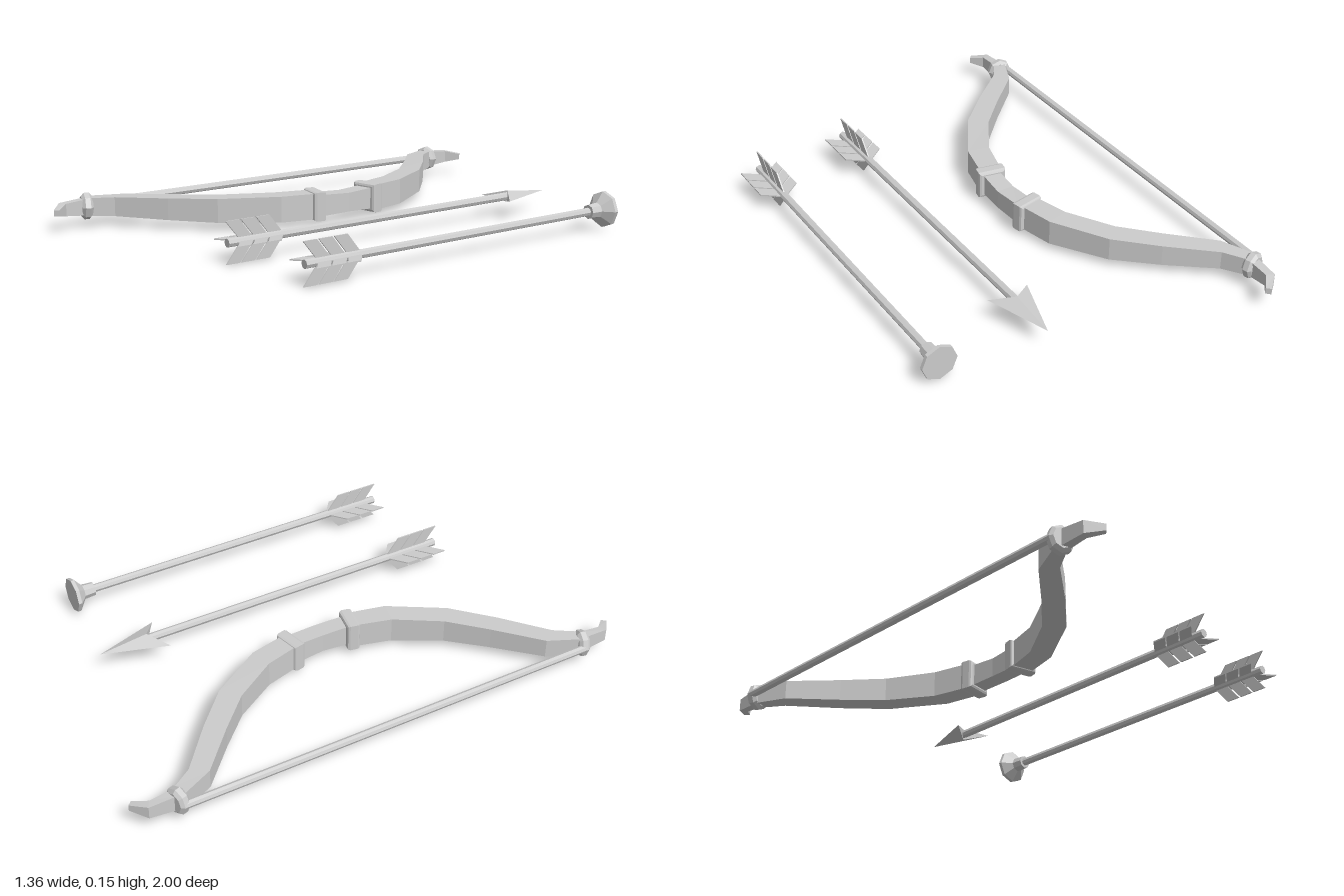
import * as THREE from 'three';

const Y = 0.08; // height of every part's centre line
const mat = new THREE.MeshStandardMaterial({ color: 0xcccccc, flatShading: true, side: THREE.DoubleSide });

function add(parent, name, geo, x = 0, y = 0, z = 0) {
  const mesh = new THREE.Mesh(geo, mat);
  mesh.name = name;
  mesh.position.set(x, y, z);
  parent.add(mesh);
  return mesh;
}

// Rod along z between two depths
function rod(radius, z0, z1) {
  return new THREE.CylinderGeometry(radius, radius, z1 - z0, 8)
    .rotateX(Math.PI / 2).translate(0, 0, (z0 + z1) / 2);
}

// Turned shape around the z axis, from [radius, z] pairs
function turned(profile) {
  return new THREE.LatheGeometry(profile.map(p => new THREE.Vector2(...p)), 8).rotateX(Math.PI / 2);
}

// Bow stave: rectangular sections [outerX, outerZ, innerX, innerZ, halfHeight]
function staveGeometry() {
  const half = [
    [-0.57, 0.984, -0.585, 1.0, 0.012],
    [-0.61, 0.937, -0.64, 0.952, 0.024],
    [-0.608, 0.85, -0.645, 0.845, 0.032],
    [-0.6, 0.835, -0.65, 0.825, 0.035],
    [-0.553, 0.762, -0.595, 0.704, 0.037],
    [-0.39, 0.624, -0.44, 0.56, 0.042],
    [-0.25, 0.49, -0.315, 0.434, 0.046],
    [-0.124, 0.286, -0.21, 0.265, 0.05],
    [-0.09, 0.14, -0.172, 0.128, 0.05],
    [-0.09, 0.125, -0.158, 0.115, 0.042],
  ];
  const back = half.map(([ox, oz, ix, iz, h]) => [ox, -oz, ix, -iz, h]);
  const sections = [...back, [-0.08, 0, -0.15, 0, 0.037], ...half.reverse()];
  const pos = [], idx = [];
  for (const [ox, oz, ix, iz, h] of sections) {
    pos.push(ox, h, oz, ox, -h, oz, ix, -h, iz, ix, h, iz);
  }
  const last = (sections.length - 1) * 4;
  for (let s = 0; s < last; s += 4) {
    for (let j = 0; j < 4; j++) {
      const a = s + j, b = s + (j + 1) % 4;
      idx.push(a, a + 4, b, b, a + 4, b + 4);
    }
  }
  idx.push(0, 1, 2, 0, 2, 3, last, last + 2, last + 1, last, last + 3, last + 2);
  const geo = new THREE.BufferGeometry();
  geo.setAttribute('position', new THREE.Float32BufferAttribute(pos, 3));
  geo.setIndex(idx);
  return geo;
}

// Collar around the grip: a rectangle with bevelled edges
function collarGeometry() {
  const w = 0.045, h = 0.046;
  const shape = new THREE.Shape([[-w, -h], [w, -h], [w, h], [-w, h]].map(p => new THREE.Vector2(...p)));
  return new THREE.ExtrudeGeometry(shape, {
    depth: 0.03, bevelThickness: 0.011, bevelSize: 0.01, bevelSegments: 2,
  }).translate(0, 0, -0.015);
}

function createBow() {
  const bow = new THREE.Group();
  bow.name = 'bow';
  bow.position.y = Y;
  add(bow, 'stave', staveGeometry());
  add(bow, 'bowString', rod(0.015, -0.84, 0.84), -0.665);
  const ring = [[0, -0.021], [0.037, -0.021], [0.049, -0.01], [0.049, 0.01], [0.037, 0.021], [0, 0.021]];
  for (const s of [-1, 1]) {
    add(bow, 'gripCollar', collarGeometry(), -0.128, 0, s * 0.128).rotation.y = -s * 0.2;
    const tie = add(bow, 'stringRing', turned(ring), -0.632, 0, s * 0.842);
    tie.rotation.y = -s * 0.28;
    tie.scale.y = 1.06;
  }
  return bow;
}

// Four rows of three swept-back vanes, starting at depth z0
function addFletching(arrow, z0) {
  const vane = new THREE.Shape([[0.008, 0], [0.077, 0.055], [0.077, 0.11], [0.008, 0.055]]
    .map(p => new THREE.Vector2(...p)));
  const thickness = 0.005;
  for (let side = 0; side < 4; side++) {
    for (let i = 0; i < 3; i++) {
      const geo = new THREE.ExtrudeGeometry(vane, { depth: thickness, bevelEnabled: false })
        .translate(0, 0, -thickness / 2).rotateX(Math.PI / 2).rotateZ(side * Math.PI / 2);
      add(arrow, 'vane', geo, 0, 0, z0 + i * 0.062);
    }
  }
}

function createArrow(name, x, front, rear) {
  const arrow = new THREE.Group();
  arrow.name = name;
  arrow.position.set(x, Y, 0);
  add(arrow, 'shaft', rod(0.016, front, rear));
  addFletching(arrow, rear - 0.229);
  return arrow;
}

// Barbed head: tip, two swept barbs, and a ridge above and below
function arrowheadGeometry() {
  const geo = new THREE.BufferGeometry();
  geo.setAttribute('position', new THREE.Float32BufferAttribute([
    0, 0, -0.755, 0.083, 0, -0.503, 0, 0.023, -0.565, -0.083, 0, -0.503, 0, -0.023, -0.565,
  ], 3));
  geo.setIndex([0, 2, 1, 0, 3, 2, 0, 4, 3, 0, 1, 4, 1, 2, 4, 2, 3, 4]);
  return geo;
}

export function createModel() {
  const model = new THREE.Group();
  model.name = 'bowAndArrows';
  model.add(createBow());

  const sharp = createArrow('pointedArrow', 0.205, -0.6, 0.735);
  add(sharp, 'arrowhead', arrowheadGeometry());
  model.add(sharp);

  // Blunt arrow with a flared suction head
  const blunt = createArrow('bluntArrow', 0.602, -0.62, 0.69);
  add(blunt, 'suctionHead', turned([
    [0, -0.7], [0.069, -0.7], [0.069, -0.686], [0.03, -0.655], [0.027, -0.61], [0, -0.61],
  ]));
  model.add(blunt);
  return model;
}
